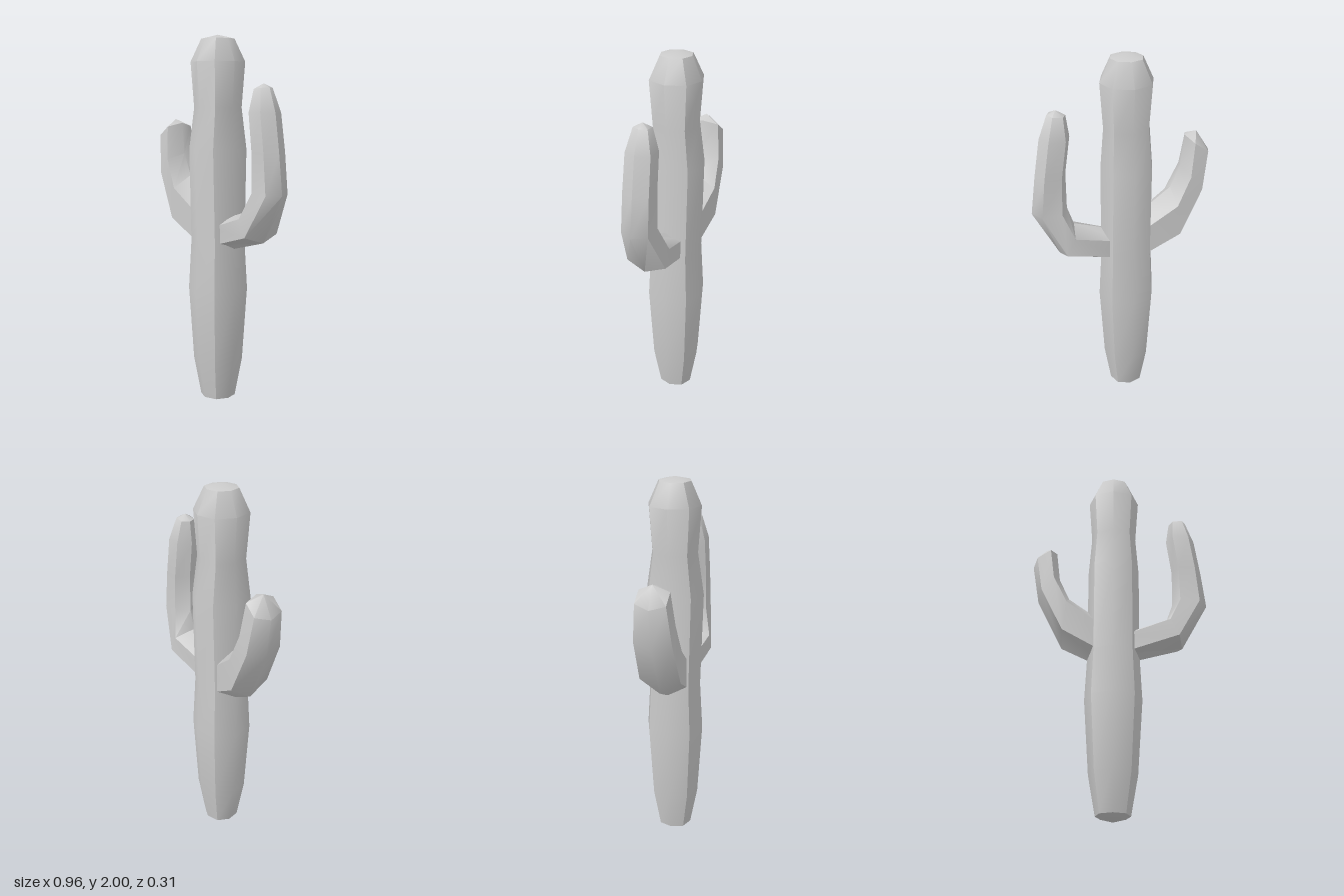
import * as THREE from 'three';
import { toCreasedNormals } from 'three/addons/utils/BufferGeometryUtils.js';

// Skin a list of rings (arrays of [x, y, z]) and close both ends with a shallow point
function loft(rings, startTip, endTip) {
  const n = rings[0].length;
  const points = [...rings.flat(), startTip, endTip];
  const start = rings.length * n, end = start + 1, top = start - n;
  const index = [];
  for (let j = 0; j < n; j++) {
    const k = (j + 1) % n;
    for (let i = 0; i < rings.length - 1; i++) {
      const a = i * n + j, b = i * n + k;
      index.push(a, a + n, b, b, a + n, b + n);
    }
    index.push(start, j, k, end, top + k, top + j);
  }
  const geometry = new THREE.BufferGeometry();
  geometry.setAttribute('position', new THREE.Float32BufferAttribute(points.flat(), 3));
  geometry.setIndex(index);
  return toCreasedNormals(geometry, Math.PI / 4);
}

// Eight-sided trunk ring with slightly pushed-out diagonal corners
function trunkRing([y, rx, rz]) {
  return Array.from({ length: 8 }, (_, i) => {
    const a = (i * Math.PI) / 4, s = i % 2 ? 1.04 : 1;
    return [-0.03 + rx * s * Math.cos(a), y, rz * s * Math.sin(a)];
  });
}

// Six-sided arm ring from its outer point, inner point and half depth
function armRing([ox, oy, ix, iy, depth], side) {
  const at = (t, z) => [ox + (ix - ox) * t, oy + (iy - oy) * t, z * side];
  return [at(0, 0), at(0.22, depth), at(0.78, depth), at(1, 0), at(0.78, -depth), at(0.22, -depth)];
}

export function createModel() {
  const group = new THREE.Group();
  const material = new THREE.MeshStandardMaterial({ color: 0xcccccc });
  const add = (name, geometry) => {
    const mesh = new THREE.Mesh(geometry, material);
    mesh.name = name;
    group.add(mesh);
  };

  // Trunk: height, radius across, radius in depth
  const trunk = [
    [0.03, 0.09, 0.09], [0.24, 0.127, 0.13], [0.64, 0.153, 0.155], [0.9, 0.14, 0.14],
    [1.4, 0.14, 0.155], [1.62, 0.123, 0.122], [1.86, 0.14, 0.14], [1.98, 0.085, 0.085],
  ];
  add('trunk', loft(trunk.map(trunkRing), [-0.03, 0, 0], [-0.03, 2, 0]));

  // Arms: outer x, y, inner x, y, half depth
  const leftArm = [
    [0, 0.845, 0, 1.02, 0.065], [0.34, 0.935, 0.258, 1.1, 0.11], [0.48, 1.19, 0.293, 1.2, 0.075],
    [0.455, 1.4, 0.295, 1.4, 0.073], [0.425, 1.6, 0.268, 1.6, 0.07], [0.38, 1.725, 0.285, 1.715, 0.04],
  ];
  add('leftArm', loft(leftArm.map((s) => armRing(s, 1)), [0, 0.93, 0], [0.335, 1.745, 0]));

  const rightArm = [
    [-0.05, 0.81, -0.05, 1.07, 0.085], [-0.31, 0.94, -0.275, 1.24, 0.11],
    [-0.445, 1.22, -0.33, 1.36, 0.1], [-0.48, 1.44, -0.35, 1.53, 0.08],
  ];
  add('rightArm', loft(rightArm.map((s) => armRing(s, -1)), [-0.05, 0.94, 0], [-0.41, 1.55, 0]));

  return group;
}
